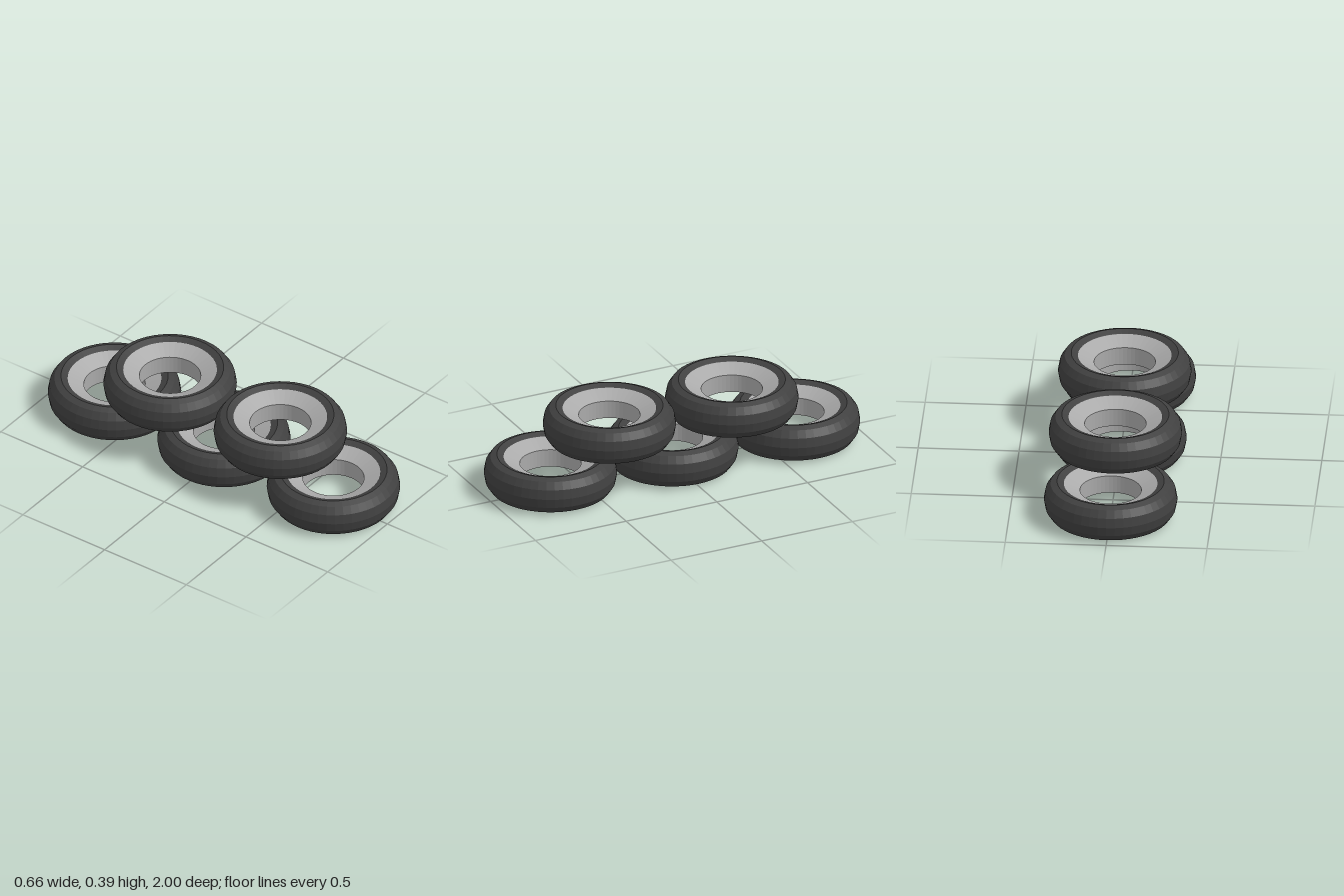
import * as THREE from 'three';

const SEGMENTS = 48;
const HALF_HEIGHT = 0.0955;

export function createModel() {
  const rubber = new THREE.MeshStandardMaterial({ color: 0x404040, flatShading: true });
  rubber.name = 'darkRubber';
  const metal = new THREE.MeshStandardMaterial({ color: 0xaaaaaa, flatShading: true });
  metal.name = 'greyMetal';

  // Tyre: ring with a tall twelve-sided oval section
  const tyreGeometry = new THREE.TorusGeometry(0.265, 0.065, 12, SEGMENTS);
  tyreGeometry.rotateX(Math.PI / 2);
  tyreGeometry.scale(1, HALF_HEIGHT / 0.065, 1);

  // Rim: dished faces above and below, joined by the open hub bore
  const rimProfile = [
    [0.237, 0.084], [0.152, 0.046], [0.15, -0.046], [0.237, -0.084],
  ].map(([r, y]) => new THREE.Vector2(r, y));
  rimProfile[2].x = 0.152;
  const rimGeometry = new THREE.LatheGeometry(rimProfile, SEGMENTS);

  const model = new THREE.Group();
  model.name = 'wheelStack';

  function addWheel(name, y, z) {
    const wheel = new THREE.Group();
    wheel.name = name;
    const tyre = new THREE.Mesh(tyreGeometry, rubber);
    tyre.name = 'tyre';
    const rim = new THREE.Mesh(rimGeometry, metal);
    rim.name = 'rim';
    wheel.add(tyre, rim);
    wheel.position.set(0, y, z);
    model.add(wheel);
  }

  // Three wheels lying in a row, two more bridging the gaps
  const lower = HALF_HEIGHT;
  const upper = 0.293;
  addWheel('lowerFrontWheel', lower, 0.67);
  addWheel('lowerMiddleWheel', lower, 0);
  addWheel('lowerBackWheel', lower, -0.67);
  addWheel('upperFrontWheel', upper, 0.345);
  addWheel('upperBackWheel', upper, -0.33);

  return model;
}
